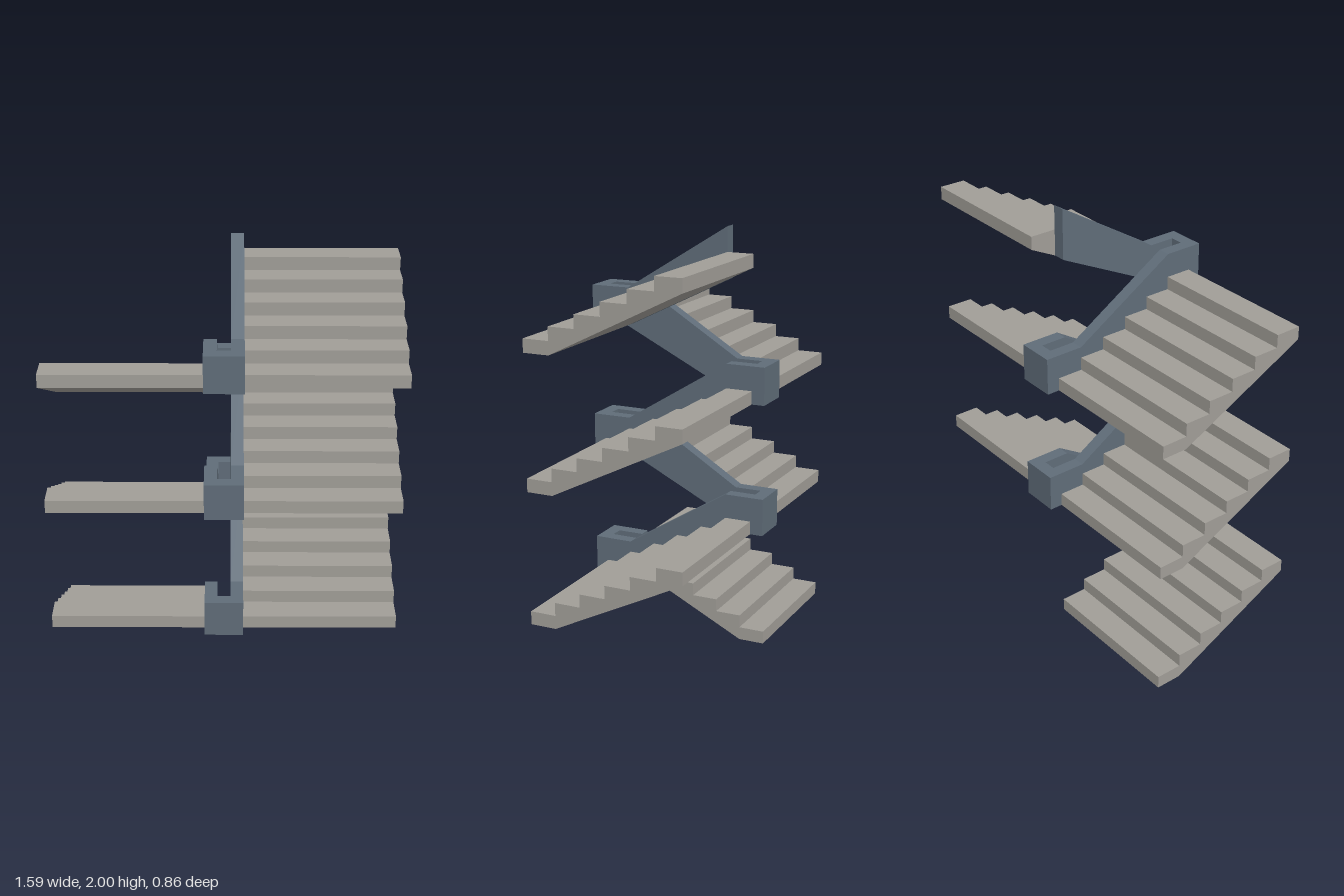
import * as THREE from 'three';

const RISE = 0.3045;      // height gained per flight
const STEPS = 6;
const HALF = 0.368;       // half the length of a flight
const TREAD = (2 * HALF) / STEPS;
const STEP_H = RISE / 5;
const WALL_H = 0.173;     // parapet height
const OUTER = 0.793, WALL_OUT = 0.088, WALL_IN = 0.03;
const END = 0.428;        // far face of the landing parapets
const KNEE = HALF - TREAD; // where sloped parapets turn level

// Extrude a (z, y) profile across x from x0 to x1
function slab(points, x0, x1, material, name) {
  const shape = new THREE.Shape(points.map(([z, y]) => new THREE.Vector2(z, y)));
  const geometry = new THREE.ExtrudeGeometry(shape, { depth: x1 - x0, bevelEnabled: false });
  geometry.rotateY(-Math.PI / 2);
  geometry.translate(x1, 0, 0);
  const mesh = new THREE.Mesh(geometry, material);
  mesh.name = name;
  return mesh;
}

// Stepped top with a sloped soffit, rising towards +z
function stairProfile() {
  const points = [[-KNEE, 0], [HALF, RISE], [HALF, RISE + STEP_H]];
  for (let i = STEPS - 1; i >= 0; i--) {
    const z = -HALF + i * TREAD;
    points.push([z, (i + 1) * STEP_H], [z, i * STEP_H]);
  }
  return points;
}

// Sloped parapet; the topmost one stops short with a vertical end
function parapetProfile(isTop) {
  const end = isTop
    ? [[KNEE, RISE * (2 * KNEE) / (KNEE + HALF)], [KNEE, RISE + WALL_H]]
    : [[HALF, RISE], [HALF, RISE + WALL_H], [KNEE, RISE + WALL_H]];
  return [[-HALF, 0], [-KNEE, 0], ...end, [-KNEE, WALL_H], [-HALF, WALL_H]];
}

const rect = (z0, z1, y0, y1) => [[z0, y0], [z1, y0], [z1, y1], [z0, y1]];

export function createModel() {
  const concrete = new THREE.MeshStandardMaterial({ color: 0xa09d97 });
  concrete.name = 'concrete';
  const slate = new THREE.MeshStandardMaterial({ color: 0x5f6c78 });
  slate.name = 'slate blue';

  const model = new THREE.Group();
  model.name = 'switchbackStairs';

  for (let i = 0; i < 6; i++) {
    const isTop = i === 5;
    const flight = new THREE.Group();
    flight.name = `flight${i + 1}`;
    flight.add(slab(stairProfile(), -OUTER, -WALL_OUT, concrete, 'steps'));

    // Lowest flight has only a short parapet stub at its landing
    flight.add(i === 0
      ? slab(rect(KNEE, HALF, RISE, RISE + WALL_H), -WALL_OUT, -WALL_IN, slate, 'parapetStub')
      : slab(parapetProfile(isTop), -WALL_OUT, -WALL_IN, slate, 'parapet'));

    // Cross wall joining this parapet to the next one
    if (!isTop) {
      flight.add(slab(rect(HALF, END, RISE, RISE + WALL_H), -WALL_OUT, WALL_OUT, slate, 'landingParapet'));
    }

    // Alternate flights turn back on the other side
    flight.position.y = i * RISE;
    flight.rotation.y = (i % 2) * Math.PI;
    model.add(flight);
  }
  return model;
}
